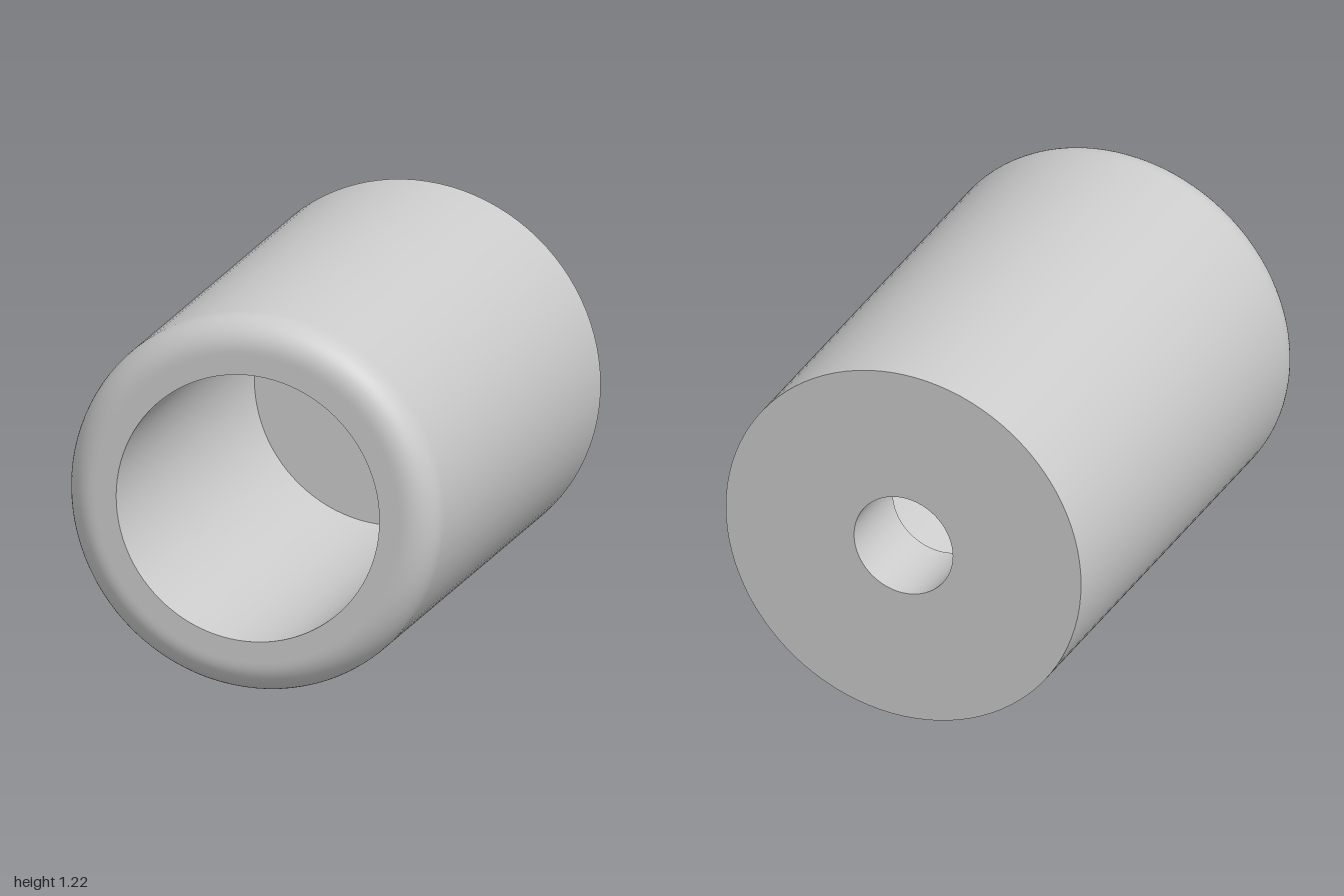
import * as THREE from 'three';

const R = 0.612;        // outer radius
const BORE = 0.435;     // wide front bore
const HOLE = 0.17;      // small rear hole
const BACK = -0.802;    // positions along the axis
const FRONT = 0.862;
const FLOOR = BACK + 0.293;
const FILLET = 0.102;

export function createModel() {
  const group = new THREE.Group();
  const material = new THREE.MeshStandardMaterial({ color: 0xcccccc });

  // Axis runs along +z, then the whole part is turned towards -x
  const sleeve = new THREE.Group();
  sleeve.name = 'sleeve';
  sleeve.rotation.set(Math.PI / 2, -Math.PI / 4, 0, 'YXZ');
  sleeve.position.y = R;
  group.add(sleeve);

  // Each surface is its own lathe, so the edges between them stay sharp
  const addSurface = (name, profile) => {
    const points = profile.map(([r, a]) => new THREE.Vector2(r, a));
    const mesh = new THREE.Mesh(new THREE.LatheGeometry(points, 96), material);
    mesh.name = name;
    sleeve.add(mesh);
  };

  // Outer wall, rounded over into the flat front rim
  const outer = [[R, BACK], [R, FRONT - FILLET - 0.01]];
  for (let i = 0; i <= 12; i++) {
    const t = (i / 12) * Math.PI / 2;
    outer.push([R - FILLET + FILLET * Math.cos(t), FRONT - FILLET + FILLET * Math.sin(t)]);
  }
  outer.push([R - FILLET - 0.01, FRONT], [BORE, FRONT]);
  addSurface('outerWall', outer);

  addSurface('boreWall', [[BORE, FRONT], [BORE, FLOOR]]);
  addSurface('boreFloor', [[BORE, FLOOR], [HOLE, FLOOR]]);
  addSurface('rearHole', [[HOLE, FLOOR], [HOLE, BACK]]);
  addSurface('backFace', [[HOLE, BACK], [R, BACK]]);

  return group;
}
